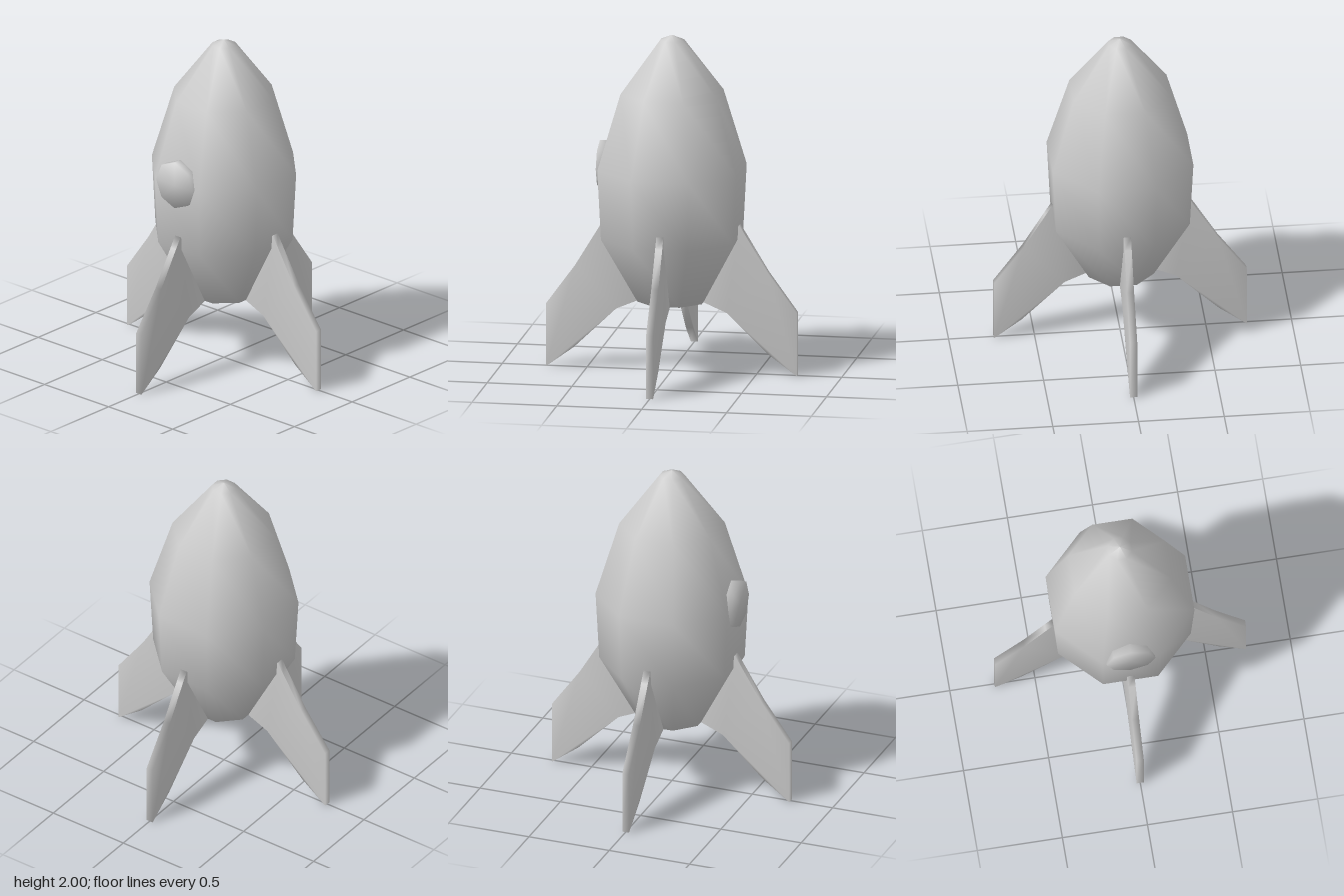
import * as THREE from 'three';
import { mergeVertices } from 'three/addons/utils/BufferGeometryUtils.js';

const grey = new THREE.MeshStandardMaterial({ color: 0xcccccc });

// Weld all corners so the shading runs smoothly over the edges
function smooth(geometry) {
  geometry.deleteAttribute('uv');
  geometry.deleteAttribute('normal');
  const welded = mergeVertices(geometry, 1e-4);
  welded.computeVertexNormals();
  return welded;
}

function part(name, geometry) {
  const mesh = new THREE.Mesh(geometry, grey);
  mesh.name = name;
  return mesh;
}

export function createModel() {
  const rocket = new THREE.Group();
  rocket.name = 'rocket';

  // Eight-sided hull; radii are measured to the flat sides
  const toCorner = 1 / Math.cos(Math.PI / 8);
  const profile = [
    [0, 0.42], [0.19, 0.42], [0.39, 0.8], [0.41, 1.21],
    [0.283, 1.66], [0.067, 1.97], [0, 2],
  ].map(([r, y]) => new THREE.Vector2(r * toCorner, y));
  rocket.add(part('hull', new THREE.LatheGeometry(profile, 8, Math.PI / 8)));

  // Round window on the front
  const porthole = new THREE.CylinderGeometry(0.143, 0.143, 0.085, 8);
  porthole.rotateX(Math.PI / 2);
  porthole.translate(-0.004, 1.212, 0.3825);
  rocket.add(part('porthole', smooth(porthole)));

  // Four swept fins
  const outline = [
    [0.185, 0.42], [0.325, 0.36], [0.575, 0.12], [0.738, 0],
    [0.738, 0.375], [0.567, 0.61], [0.44, 0.82], [0.4, 0.885], [0.365, 0.85],
  ].map(([x, y]) => new THREE.Vector2(x, y));
  const thickness = 0.042;
  const fin = new THREE.ExtrudeGeometry(new THREE.Shape(outline), {
    depth: thickness, bevelEnabled: false,
  });
  fin.translate(0, 0, -thickness / 2);
  const finGeometry = smooth(fin);
  ['leftFin', 'backFin', 'rightFin', 'frontFin'].forEach((name, i) => {
    const mesh = part(name, finGeometry);
    mesh.rotation.y = i * Math.PI / 2;
    rocket.add(mesh);
  });

  return rocket;
}
